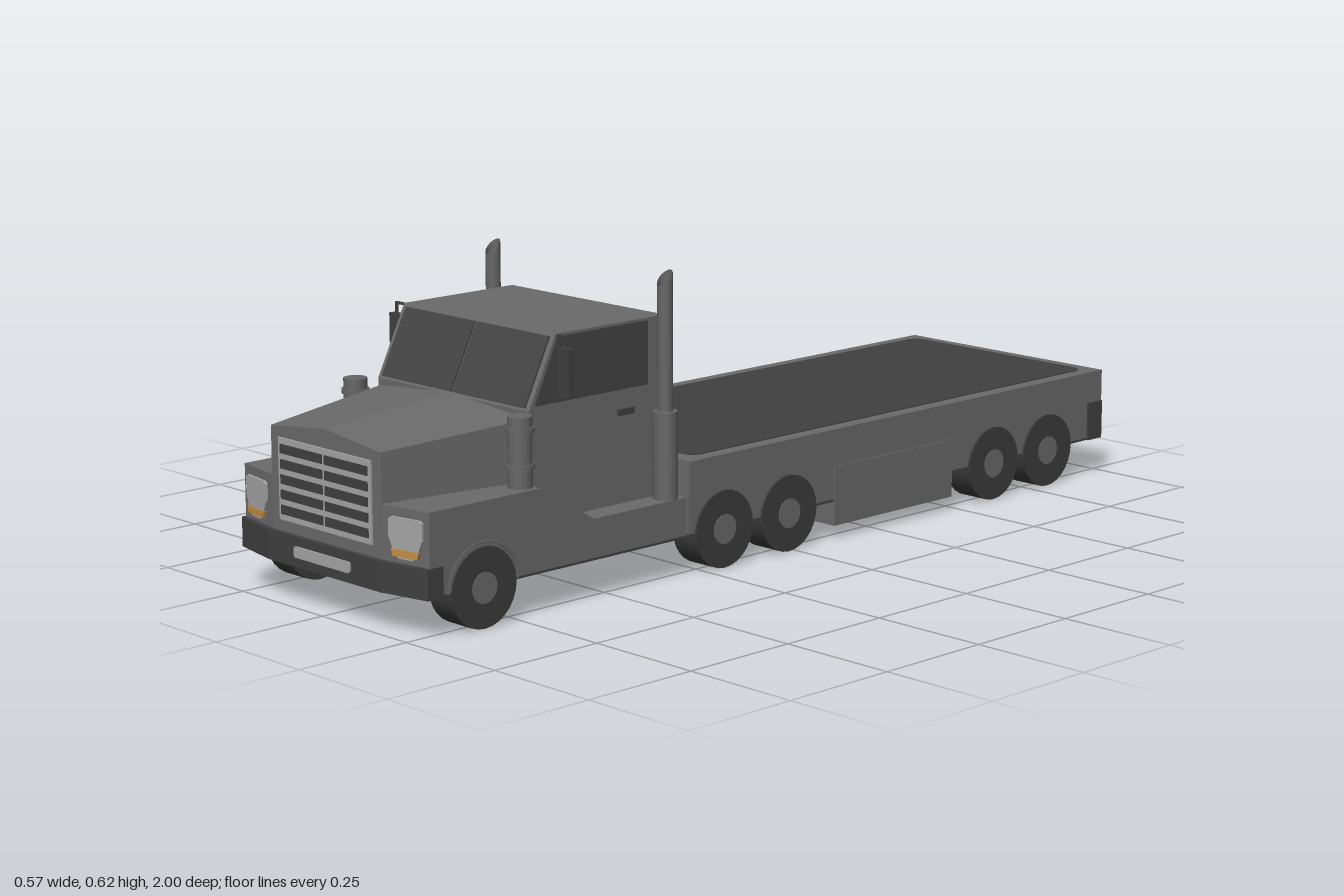
import * as THREE from 'three';

const mat = (name, color, side = THREE.FrontSide) => {
  const m = new THREE.MeshStandardMaterial({ color, side });
  m.name = name;
  return m;
};

export function createModel() {
  const truck = new THREE.Group();
  truck.name = 'flatbedTruck';

  const paint = mat('grey paint', 0x6a6a6a);
  const pipe = mat('exhaust grey', 0x666666, THREE.DoubleSide);
  const dark = mat('dark trim', 0x404040);
  const glass = mat('dark glass', 0x444444);
  const rubber = mat('tyre rubber', 0x3c3c3c);
  const silver = mat('silver', 0xa6a6a6);
  const amber = mat('amber lamp', 0xc48e48);

  // Helpers
  const add = (name, geo, material, x = 0, y = 0, z = 0, parent = truck) => {
    const m = new THREE.Mesh(geo, material);
    m.name = name;
    m.position.set(x, y, z);
    parent.add(m);
    return m;
  };
  const span = (name, material, x0, x1, y0, y1, z0, z1) =>
    add(name, new THREE.BoxGeometry(x1 - x0, y1 - y0, z1 - z0), material,
      (x0 + x1) / 2, (y0 + y1) / 2, (z0 + z1) / 2);
  const poly = pts => new THREE.Shape(pts.map(p => new THREE.Vector2(p[0], p[1])));
  const extrude = (shape, depth) =>
    new THREE.ExtrudeGeometry(shape, { depth, bevelEnabled: false, curveSegments: 6 });
  // Side outline of [z, y] points, extruded between x0 and x1
  const sideProfile = (pts, x0, x1) =>
    extrude(poly(pts), x1 - x0).rotateY(-Math.PI / 2).translate(x1, 0, 0);
  // Plan outline of [x, z] points, extruded between y0 and y1
  const plan = (pts, y0, y1) =>
    extrude(poly(pts.map(([x, z]) => [x, -z])), y1 - y0).rotateX(-Math.PI / 2).translate(0, y0, 0);
  const roundRect = (w, h, r) => {
    const s = new THREE.Shape(), a = w / 2, b = h / 2;
    s.moveTo(-a + r, -b).lineTo(a - r, -b).quadraticCurveTo(a, -b, a, -b + r);
    s.lineTo(a, b - r).quadraticCurveTo(a, b, a - r, b);
    s.lineTo(-a + r, b).quadraticCurveTo(-a, b, -a, b - r);
    s.lineTo(-a, -b + r).quadraticCurveTo(-a, -b, -a + r, -b);
    return s;
  };

  // Cab with raked windscreen
  add('cab', sideProfile([[0.313, 0.085], [0.67, 0.085], [0.67, 0.383], [0.6, 0.525], [0.313, 0.525]],
    -0.226, 0.226), paint);

  // Hood: peaked section that widens toward the cab
  const hood = extrude(poly([[-1, 0.085], [1, 0.085], [1, 0.345], [0, 0.364], [-1, 0.345]]), 0.325);
  const hp = hood.attributes.position;
  for (let i = 0; i < hp.count; i++) {
    const back = hp.getZ(i) < 0.1;
    hp.setX(i, hp.getX(i) * (back ? 0.222 : 0.166));
    if (back && hp.getY(i) > 0.3) hp.setY(i, hp.getY(i) + 0.024);
  }
  hood.computeVertexNormals();
  add('hood', hood, paint, 0, 0, 0.66);

  // Windscreen panes
  const rake = -Math.atan2(0.07, 0.142);
  for (const s of [-1, 1]) {
    add('windscreen', new THREE.BoxGeometry(0.211, 0.146, 0.006), glass, s * 0.1085, 0.4535, 0.6362)
      .rotation.x = rake;
  }
  add('rearWindow', extrude(roundRect(0.31, 0.085, 0.025), 0.005), glass, 0, 0.455, 0.3095);

  for (const s of [-1, 1]) {
    // Fender and running board, swept back at the front corner
    const fender = sideProfile([[0.305, 0.085], [0.985, 0.085], [0.985, 0.247], [0.69, 0.247],
      [0.553, 0.163], [0.305, 0.163]], s > 0 ? 0.16 : -0.28, s > 0 ? 0.28 : -0.16);
    const fp = fender.attributes.position;
    for (let i = 0; i < fp.count; i++) {
      if (fp.getZ(i) > 0.98 && Math.abs(fp.getX(i)) > 0.27) fp.setZ(i, 0.965);
    }
    fender.computeVertexNormals();
    add('fender', fender, paint);
    add('wheelArch', new THREE.TorusGeometry(0.086, 0.005, 4, 20, Math.PI).rotateY(Math.PI / 2),
      paint, s * 0.278, 0.083, 0.835);

    // Headlight with amber strip
    const lamp = new THREE.Group();
    lamp.name = 'headlight';
    lamp.position.set(s * 0.226, 0.19, 0.9745);
    lamp.rotation.y = s * 0.174;
    truck.add(lamp);
    add('headlightLens', extrude(poly([[-0.041, 0.034], [-0.034, 0.039], [0.034, 0.039], [0.041, 0.034],
      [0.041, 0], [0.032, -0.02], [0.018, -0.04], [-0.018, -0.04], [-0.032, -0.02], [-0.041, 0]]), 0.005),
    silver, 0, 0, 0, lamp);
    add('turnSignal', extrude(poly([[-0.034, -0.022], [0.034, -0.022], [0.03, -0.036], [-0.03, -0.036]]),
      0.007), amber, 0, 0, 0, lamp);

    // Door glass and handle
    add('sideWindow', sideProfile([[0.36, 0.392], [0.657, 0.392], [0.597, 0.52], [0.36, 0.52]],
      -0.0025, 0.0025), glass, s * 0.2265);
    add('doorHandle', new THREE.BoxGeometry(0.008, 0.012, 0.042), dark, s * 0.229, 0.347, 0.42);

    // Mirror on its arm
    add('mirror', new THREE.BoxGeometry(0.032, 0.095, 0.016), dark, s * 0.252, 0.453, 0.597);
    add('mirrorArm', new THREE.BoxGeometry(0.034, 0.005, 0.005), dark, s * 0.239, 0.522, 0.597);
    add('mirrorPost', new THREE.BoxGeometry(0.005, 0.026, 0.005), dark, s * 0.254, 0.511, 0.597);

    // Air cleaner with collars
    add('airCleaner', new THREE.CylinderGeometry(0.024, 0.024, 0.14, 16), pipe, s * 0.247, 0.316, 0.712);
    for (const [y, h] of [[0.36, 0.01], [0.288, 0.01]]) {
      add('airCleanerCollar', new THREE.CylinderGeometry(0.028, 0.028, h, 16), pipe, s * 0.247, y, 0.712);
    }

    // Exhaust stack with a slanted mouth
    const stack = new THREE.CylinderGeometry(0.0155, 0.0155, 0.43, 16, 1, true);
    const sp = stack.attributes.position;
    for (let i = 0; i < sp.count; i++) {
      if (sp.getY(i) > 0) sp.setY(i, 0.215 - sp.getZ(i) * 0.95);
    }
    add('exhaustStack', stack, pipe, s * 0.2555, 0.39, 0.339);
    add('exhaustSleeve', new THREE.CylinderGeometry(0.025, 0.025, 0.18, 16), pipe, s * 0.2565, 0.25, 0.34);

    // Wheels
    for (const z of [0.835, 0.2, 0.015, -0.62, -0.8]) {
      const wheel = new THREE.Group();
      wheel.name = 'wheel';
      wheel.position.set(s * 0.249, 0.08, z);
      truck.add(wheel);
      add('tyre', new THREE.CylinderGeometry(0.08, 0.08, 0.067, 28).rotateZ(Math.PI / 2), rubber, 0, 0, 0, wheel);
      add('hub', new THREE.CylinderGeometry(0.031, 0.031, 0.07, 16).rotateZ(Math.PI / 2), paint, 0, 0, 0, wheel);
    }

    // Side storage box
    add('storageBox', new THREE.BoxGeometry(0.126, 0.126, 0.365), paint, s * 0.218, 0.092, -0.303);

    // Rear lamps
    add('rearLamp', new THREE.BoxGeometry(0.038, 0.014, 0.006), amber, s * 0.226, 0.128, -0.9905)
      .rotation.y = -s * 0.088;
  }

  // Grille with slots
  span('grille', silver, -0.14, 0.14, 0.164, 0.326, 0.98, 0.989);
  for (let row = 0; row < 5; row++) {
    for (const s of [-1, 1]) {
      add('grilleSlot', new THREE.BoxGeometry(0.128, 0.018, 0.005), dark, s * 0.068, 0.185 + row * 0.03, 0.989);
    }
  }

  // Front and rear bumpers with pale plates
  add('frontBumper', plan([[-0.283, 0.935], [0.283, 0.935], [0.283, 0.973], [0.17, 0.996], [-0.17, 0.996],
    [-0.283, 0.973]], 0.08, 0.14), dark);
  add('rearBumper', plan([[-0.283, -0.94], [0.283, -0.94], [0.283, -0.986], [0.17, -0.996], [-0.17, -0.996],
    [-0.283, -0.986]], 0.08, 0.165), dark);
  add('frontPlate', extrude(roundRect(0.17, 0.022, 0.006), 0.005), silver, 0, 0.111, 0.995);
  add('rearPlate', extrude(roundRect(0.17, 0.024, 0.01), 0.005), silver, 0, 0.126, -1);

  // Flat bed, chassis and dark underside
  span('bed', paint, -0.281, 0.281, 0.165, 0.234, -0.985, 0.297);
  span('chassis', paint, -0.278, 0.278, 0.085, 0.166, -0.945, 0.297);
  span('chassisLink', paint, -0.21, 0.21, 0.085, 0.16, 0.28, 0.33);
  span('bedUnderside', dark, -0.278, 0.278, 0.08, 0.086, -0.945, 0.297);
  span('linkUnderside', dark, -0.21, 0.21, 0.08, 0.086, 0.29, 0.31);
  span('cabUnderside', dark, -0.279, 0.279, 0.08, 0.086, 0.305, 0.962);
  add('bedFloor', extrude(roundRect(0.5, 1.215, 0.03), 0.005).rotateX(-Math.PI / 2), dark, 0, 0.231, -0.3475);

  return truck;
}
